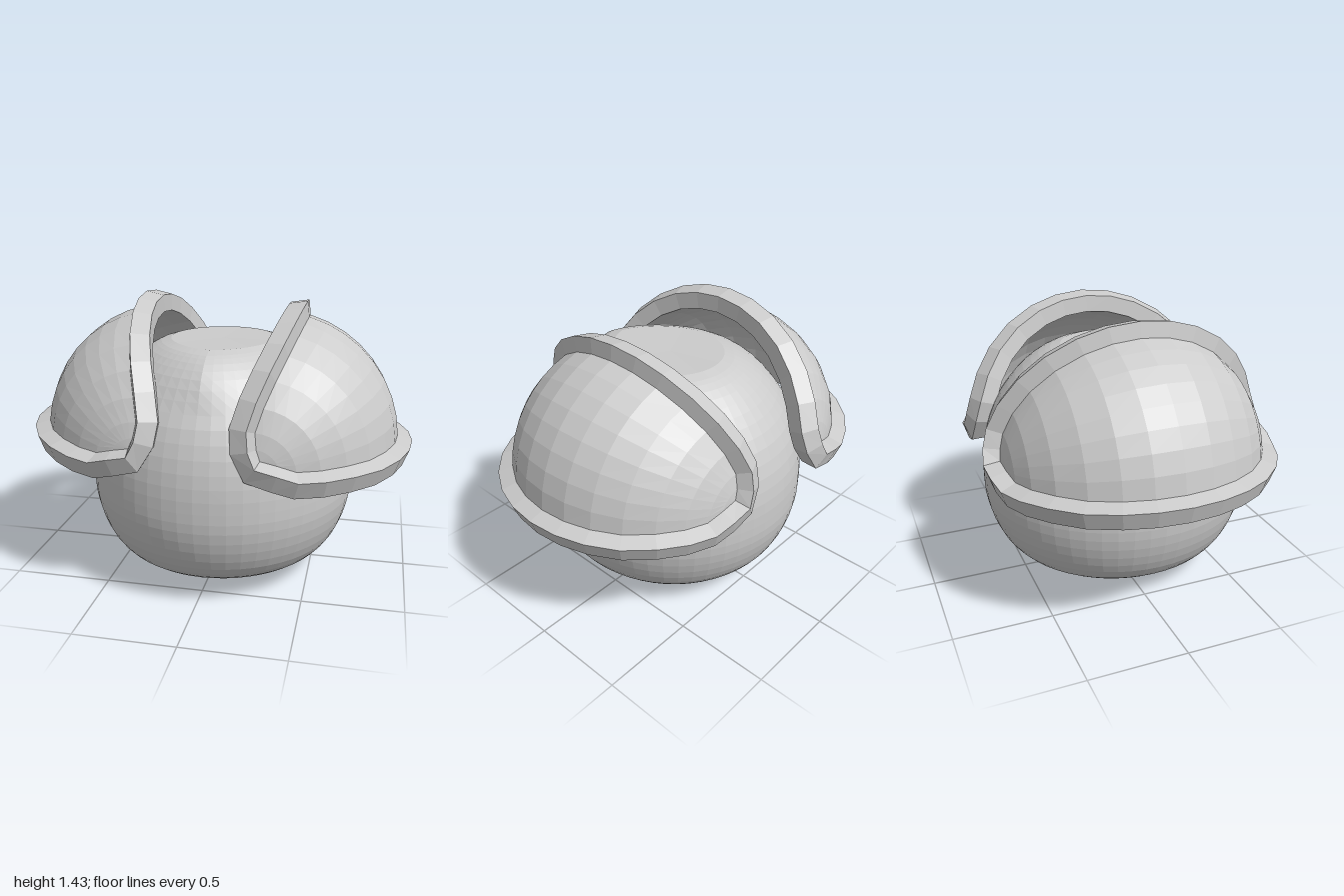
import * as THREE from 'three';

const material = new THREE.MeshStandardMaterial({ color: 0xcccccc, flatShading: true });
const shellMaterial = new THREE.MeshStandardMaterial({ color: 0xcccccc, flatShading: true, side: THREE.DoubleSide });

const RADIUS = 0.65; // outer radius of a shoulder dome
const WALL = 0.05;

// Joins rows of points into a surface, optionally closed both ways.
function gridGeometry(rows, closed = false) {
  const cols = rows[0].length;
  const index = [];
  for (let i = 0; i < rows.length - (closed ? 0 : 1); i++) {
    for (let j = 0; j < cols - (closed ? 0 : 1); j++) {
      const next = (i + 1) % rows.length, k = (j + 1) % cols;
      const a = i * cols + j, b = i * cols + k, c = next * cols + j, d = next * cols + k;
      index.push(a, b, c, b, d, c);
    }
  }
  const geometry = new THREE.BufferGeometry().setFromPoints(rows.flat());
  geometry.setIndex(index);
  geometry.computeVertexNormals();
  return geometry;
}

// Unit direction: t is measured from the front pole, alpha around the front-back axis (degrees).
function direction(t, alpha) {
  const a = THREE.MathUtils.degToRad(alpha), p = THREE.MathUtils.degToRad(t);
  return new THREE.Vector3(Math.sin(p) * Math.cos(a), Math.sin(p) * Math.sin(a), Math.cos(p));
}

// Upper and lower edges of the dome from the front tip to the middle, then mirrored to the back.
const half = [
  [7.5, 66, 66], [11.5, 83, 26], [18, 88, 8], [28, 83, 5], [40, 79, 4],
  [53, 76.5, 3], [66, 75.2, 3], [78, 74.6, 3], [90, 74.4, 3],
];
const stations = [...half, ...half.slice(0, -1).reverse().map(([t, u, l]) => [180 - t, u, l])];

function domeGeometry(radius) {
  const steps = 8;
  return gridGeometry(stations.map(([t, upper, lower]) =>
    Array.from({ length: steps + 1 }, (_, j) =>
      direction(t, THREE.MathUtils.lerp(upper, lower, j / steps)).multiplyScalar(radius))));
}

// Thick lip swept round the edge of the dome.
function rimGeometry() {
  const loop = [
    ...stations.map(([t, upper]) => direction(t, upper)),
    ...stations.slice(1, -1).reverse().map(([t, , lower]) => direction(t, lower)),
  ];
  // [height above the dome, distance outwards from its edge]
  const section = [[-WALL, 0], [-WALL, 0.1], [0.035, 0.115], [0.073, 0.03], [0, 0]];
  const count = loop.length;
  return gridGeometry(loop.map((normal, i) => {
    const tangent = loop[(i + 1) % count].clone().sub(loop[(i + count - 1) % count]);
    const outward = normal.clone().cross(tangent).normalize();
    return section.map(([n, b]) =>
      normal.clone().multiplyScalar(RADIUS + n).addScaledVector(outward, b));
  }), true);
}

function addMesh(parent, name, geometry, mat) {
  const mesh = new THREE.Mesh(geometry, mat);
  mesh.name = name;
  parent.add(mesh);
  return mesh;
}

function shoulderPad(name) {
  const pad = new THREE.Group();
  pad.name = name;
  addMesh(pad, 'padDome', domeGeometry(RADIUS), shellMaterial);
  addMesh(pad, 'padLining', domeGeometry(RADIUS - WALL), shellMaterial);
  addMesh(pad, 'padRim', rimGeometry(), shellMaterial);
  return pad;
}

// Rounded torso with a shallow blunt base and a flat neck.
function bodyGeometry() {
  const side = new THREE.SplineCurve([
    [0.49, 0.1], [0.55, 0.14], [0.61, 0.215], [0.655, 0.32], [0.68, 0.43], [0.685, 0.53],
    [0.68, 0.65], [0.657, 0.78], [0.61, 0.91], [0.54, 1.02], [0.46, 1.11], [0.38, 1.17], [0.32, 1.2],
  ].map(([r, y]) => new THREE.Vector2(r, y)));
  const base = [[0, 0], [0.08, 0.007], [0.25, 0.042], [0.4, 0.078]].map(([r, y]) => new THREE.Vector2(r, y));
  const neck = [[0.27, 1.215], [0, 1.21]].map(([r, y]) => new THREE.Vector2(r, y));
  const geometry = new THREE.LatheGeometry([...base, ...side.getPoints(24), ...neck], 56);

  // gentle forward point at the front of the neck
  const pos = geometry.attributes.position;
  const clamp = (v) => THREE.MathUtils.clamp(v, 0, 1);
  for (let i = 0; i < pos.count; i++) {
    const x = pos.getX(i), y = pos.getY(i), z = pos.getZ(i);
    const bump = clamp((y - 0.98) / 0.22) * clamp(z / 0.3) * clamp(1 - Math.abs(x) / 0.3);
    pos.setZ(i, z + 0.07 * bump);
  }
  geometry.scale(1, 1, 1.04);
  geometry.computeVertexNormals();
  return geometry;
}

export function createModel() {
  const model = new THREE.Group();
  model.name = 'armouredTorso';

  const body = addMesh(model, 'body', bodyGeometry(), material);
  body.position.set(0.015, 0, 0.033);

  const left = shoulderPad('leftShoulderPad');
  left.position.set(0.272, 0.7, 0.003);
  left.scale.z = 1.01;
  model.add(left);

  // the right pad is the left one turned round and tipped up a little
  const right = shoulderPad('rightShoulderPad');
  right.position.set(-0.278, 0.718, -0.005);
  right.rotation.set(0, Math.PI, 0.055);
  right.scale.z = 1.04;
  model.add(right);

  return model;
}
